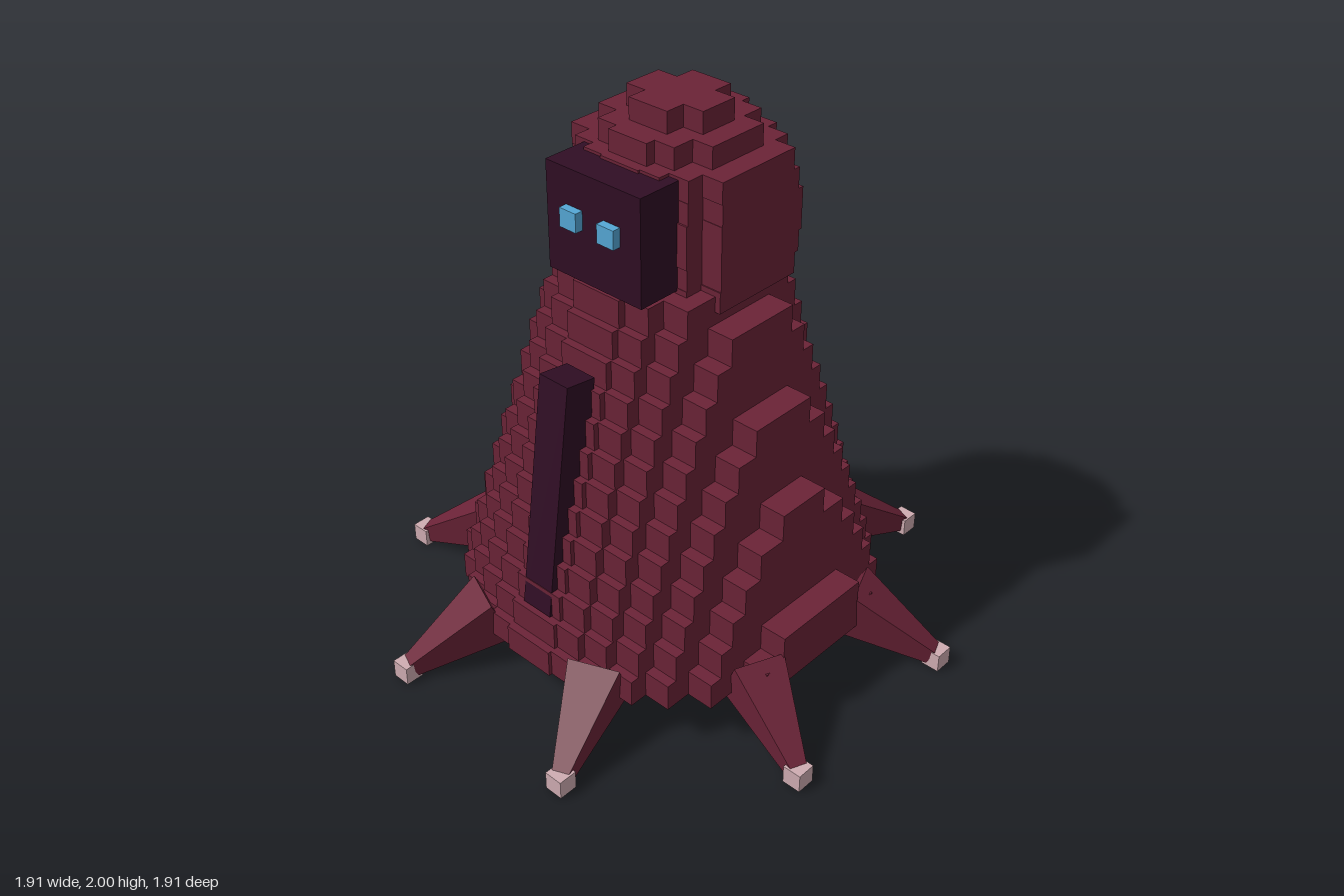
import * as THREE from 'three';

const material = (name, color) => {
  const m = new THREE.MeshStandardMaterial({ color });
  m.name = name;
  return m;
};

function addMesh(parent, name, geometry, mat, x = 0, y = 0, z = 0) {
  const mesh = new THREE.Mesh(geometry, mat);
  mesh.name = name;
  mesh.position.set(x, y, z);
  parent.add(mesh);
  return mesh;
}

// Slab with a stepped outline: column k ends at x = k * step and reaches depths[k - 1] in z
function steppedSlab(step, depths, height) {
  const quarter = [];
  depths.forEach((d, i) => quarter.push([i * step, d], [(i + 1) * step, d]));
  quarter.shift();
  const back = [...quarter].reverse();
  const points = [
    ...quarter.map(([x, z]) => [x, z]),
    ...back.map(([x, z]) => [x, -z]),
    ...quarter.map(([x, z]) => [-x, -z]),
    ...back.map(([x, z]) => [-x, z]),
  ].map(([x, z]) => new THREE.Vector2(x, z));
  const geo = new THREE.ExtrudeGeometry(new THREE.Shape(points), { depth: height, bevelEnabled: false });
  return geo.rotateX(-Math.PI / 2);
}

export function createModel() {
  const model = new THREE.Group();
  model.name = 'robedFigure';
  const robeMat = material('maroon cloth', 0x6b2337);
  const darkMat = material('dark plum', 0x300e24);
  const eyeMat = material('blue glow', 0x55a8d6);
  const tipMat = material('pale pink', 0xcfadb2);

  // Robe: thirteen slabs tapering upwards
  const robe = new THREE.Group();
  robe.name = 'robe';
  model.add(robe);
  for (let i = 0; i < 13; i++) {
    const r = 0.7 - 0.03 * i;
    const columns = Math.round(r * 10 + 0.001);
    const depths = [];
    for (let k = 1; k <= columns; k++) {
      const x = k * 0.1 - 0.06;
      depths.push(Math.sqrt(Math.max(r * r - x * x, 0.0025)));
    }
    addMesh(robe, 'robeLayer', steppedSlab(0.1, depths, 0.1), robeMat, 0, 0.155 + 0.1 * i, 0);
  }

  // Hood: rounded stack of finer slabs, set slightly back
  const hood = new THREE.Group();
  hood.name = 'hood';
  model.add(hood);
  const ratios = { 4: [1, 0.97, 0.82, 0.6], 3: [1, 0.85, 0.5], 2: [1, 0.5] };
  const hoodLayers = [ // columns, half depth, centre z
    [4, 0.3, -0.065], [4, 0.31, -0.075], [4, 0.32, -0.08], [4, 0.32, -0.08],
    [4, 0.3, -0.07], [4, 0.28, -0.055], [3, 0.235, -0.048], [2, 0.145, -0.048],
  ];
  hoodLayers.forEach(([columns, half, z], i) => {
    const depths = ratios[columns].map((f) => f * half);
    addMesh(hood, 'hoodLayer', steppedSlab(0.08, depths, 0.075), robeMat, 0, 1.4 + 0.075 * i, z);
  });

  // Face and eyes
  addMesh(model, 'face', new THREE.BoxGeometry(0.4, 0.375, 0.22), darkMat, 0, 1.6525, 0.23);
  for (const side of [-1, 1]) {
    addMesh(model, 'eye', new THREE.BoxGeometry(0.07, 0.066, 0.05), eyeMat, side * 0.08, 1.682, 0.345);
  }

  // Leaning strip down the front of the robe
  const strip = addMesh(model, 'frontStrip',
    new THREE.BoxGeometry(0.125, 0.86, 0.12).translate(0, 0, -0.06), darkMat, 0, 0.785, 0.59);
  strip.rotation.x = -0.14;

  // Eight tapered legs with small cube feet
  const base = new THREE.Vector3(0, 0.2, 0.67);
  const end = new THREE.Vector3(0, 0.045, 0.985);
  const along = end.clone().sub(base);
  const legGeo = new THREE.CylinderGeometry(0.03 * Math.SQRT2, 0.092 * Math.SQRT2, along.length(), 4)
    .rotateY(Math.PI / 4).toNonIndexed();
  legGeo.computeVertexNormals();
  legGeo.applyQuaternion(new THREE.Quaternion().setFromUnitVectors(
    new THREE.Vector3(0, 1, 0), along.clone().normalize()));
  const middle = base.clone().add(end).multiplyScalar(0.5);
  legGeo.translate(middle.x, middle.y, middle.z);
  const footGeo = new THREE.BoxGeometry(0.068, 0.068, 0.068);
  for (let i = 0; i < 8; i++) {
    const angle = (i + 0.5) * Math.PI / 4;
    addMesh(model, 'leg', legGeo, robeMat).rotation.y = angle;
    addMesh(model, 'foot', footGeo, tipMat, 0.998 * Math.sin(angle), 0.038, 0.998 * Math.cos(angle));
  }
  return model;
}
